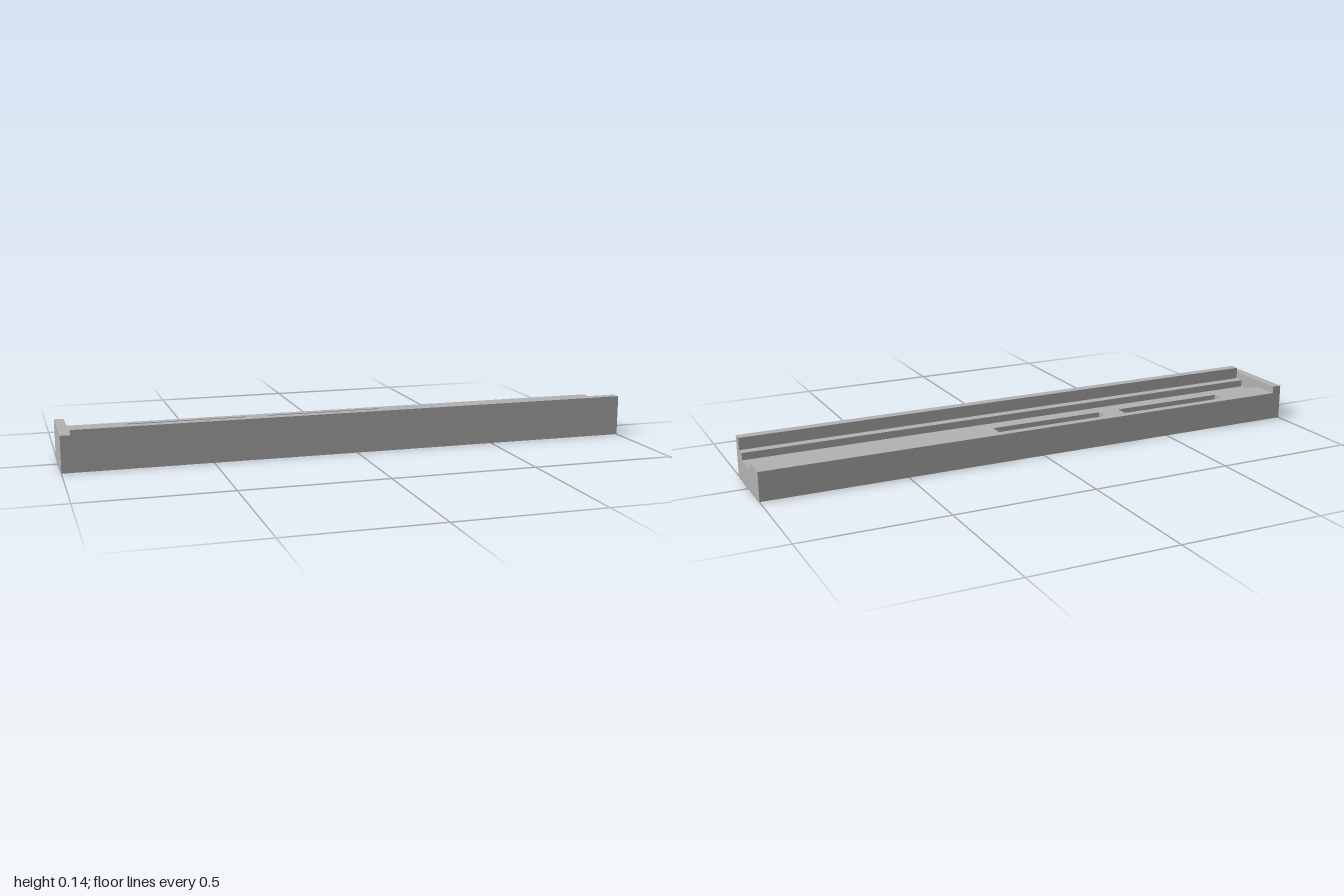
import * as THREE from 'three';
import { mergeGeometries } from 'three/addons/utils/BufferGeometryUtils.js';

const gray = new THREE.MeshStandardMaterial({ color: 0xb2b2b2 });
gray.name = 'plain gray';

// Heights, depths and lengths shared by the parts
const X0 = -1, XE = -0.967, X1 = 1;
const BACK = -0.133, GB = -0.033, GF = 0.067, WALL = 0.1, FRONT = 0.133;
const GROOVE = 0.075, LEDGE = 0.1, STOP = 0.125, TOP = 0.142;

const rect = (a0, b0, a1, b1) => [[a0, b0], [a1, b0], [a1, b1], [a0, b1]];

// Flat face at a given offset along an axis; outline is in the two other world coordinates
const TURN = {
  up: { s: [1, -1], turn: g => g.rotateX(-Math.PI / 2), at: o => [0, o, 0] },     // [x, z]
  down: { s: [1, 1], turn: g => g.rotateX(Math.PI / 2), at: o => [0, o, 0] },     // [x, z]
  right: { s: [-1, 1], turn: g => g.rotateY(Math.PI / 2), at: o => [o, 0, 0] },   // [z, y], facing +x
  left: { s: [1, 1], turn: g => g.rotateY(-Math.PI / 2), at: o => [o, 0, 0] },    // [z, y], facing -x
  front: { s: [1, 1], turn: g => g, at: o => [0, 0, o] },                         // [x, y]
  back: { s: [-1, 1], turn: g => g.rotateY(Math.PI), at: o => [0, 0, o] },        // [x, y]
};
function face(dir, offset, outline, holes = []) {
  const { s, turn, at } = TURN[dir];
  const flat = pts => pts.map(([a, b]) => new THREE.Vector2(a * s[0], b * s[1]));
  const shape = new THREE.Shape(flat(outline));
  shape.holes = holes.map(h => new THREE.Path(flat(h)));
  return turn(new THREE.ShapeGeometry(shape)).translate(...at(offset)).toNonIndexed();
}

// Inner wall of a through hole, from the bottom up to height h
function holeWall(points, h) {
  const pos = [], uv = [];
  points.forEach(([ax, az], i) => {
    const [bx, bz] = points[(i + 1) % points.length];
    pos.push(bx, 0, bz, ax, 0, az, ax, h, az, bx, 0, bz, ax, h, az, bx, h, bz);
    uv.push(1, 0, 0, 0, 0, 1, 1, 0, 0, 1, 1, 1);
  });
  const g = new THREE.BufferGeometry();
  g.setAttribute('position', new THREE.Float32BufferAttribute(pos, 3));
  g.setAttribute('uv', new THREE.Float32BufferAttribute(uv, 2));
  g.computeVertexNormals();
  return g;
}

// Rounded rectangle outline in [x, z]; equal half sizes and radius give a circle
function roundedOutline(cx, cz, hx, hz, r, steps) {
  const pts = [];
  [[1, 1], [-1, 1], [-1, -1], [1, -1]].forEach(([sx, sy], q) => {
    const last = hx > r ? steps : steps - 1;
    for (let i = 0; i <= last; i++) {
      const a = (q + i / steps) * Math.PI / 2;
      pts.push([cx + sx * (hx - r) + r * Math.cos(a), cz - sy * (hz - r) - r * Math.sin(a)]);
    }
  });
  return pts;
}

export function createModel() {
  const model = new THREE.Group();
  model.name = 'slottedRail';
  const add = (name, ...parts) => {
    const mesh = new THREE.Mesh(mergeGeometries(parts), gray);
    mesh.name = name;
    model.add(mesh);
  };

  const slots = [-0.548, -0.051].map(x => roundedOutline(x, -0.08, 0.21, 0.024, 0.005, 3));
  const bores = [0.519, 0.885].map(x => roundedOutline(x, 0.016, 0.016, 0.016, 0.016, 6));

  // Underside and long outer sides
  add('underside', face('down', 0, rect(X0, BACK, X1, FRONT), [...slots, ...bores]));
  add('backSide', face('back', BACK, rect(X0, 0, X1, LEDGE)));
  add('frontSide', face('front', FRONT, rect(X0, 0, X1, STOP)));

  // Stepped open end
  add('openEnd', face('right', X1, [
    [FRONT, 0], [FRONT, TOP], [WALL, TOP], [WALL, LEDGE], [GF, LEDGE],
    [GF, GROOVE], [GB, GROOVE], [GB, LEDGE], [BACK, LEDGE], [BACK, 0],
  ]));

  // Ledges and central groove
  add('backLedge', face('up', LEDGE, rect(XE, BACK, X1, GB), slots));
  add('frontLedge', face('up', LEDGE, rect(XE, GF, X1, WALL)));
  add('groove',
    face('up', GROOVE, rect(XE, GB, X1, GF), bores),
    face('front', GB, rect(XE, GROOVE, X1, LEDGE)),
    face('back', GF, rect(XE, GROOVE, X1, LEDGE)));

  // Raised front fence
  add('frontFence',
    face('up', TOP, rect(XE, WALL, X1, FRONT)),
    face('front', FRONT, rect(XE, STOP, X1, TOP)),
    face('back', WALL, rect(XE, LEDGE, X1, TOP)),
    face('left', XE, rect(WALL, STOP, FRONT, TOP)));

  // End stop across the closed end
  add('endStop',
    face('left', X0, rect(BACK, 0, FRONT, STOP)),
    face('up', STOP, rect(X0, BACK, XE, FRONT)),
    face('back', BACK, rect(X0, LEDGE, XE, STOP)),
    face('right', XE, [
      [BACK, STOP], [BACK, LEDGE], [GB, LEDGE], [GB, GROOVE],
      [GF, GROOVE], [GF, LEDGE], [WALL, LEDGE], [WALL, STOP],
    ]));

  // Through slots and screw holes
  slots.forEach((s, i) => add('slotWall' + (i + 1), holeWall(s, LEDGE)));
  bores.forEach((b, i) => add('screwHoleWall' + (i + 1), holeWall(b, GROOVE)));
  return model;
}
